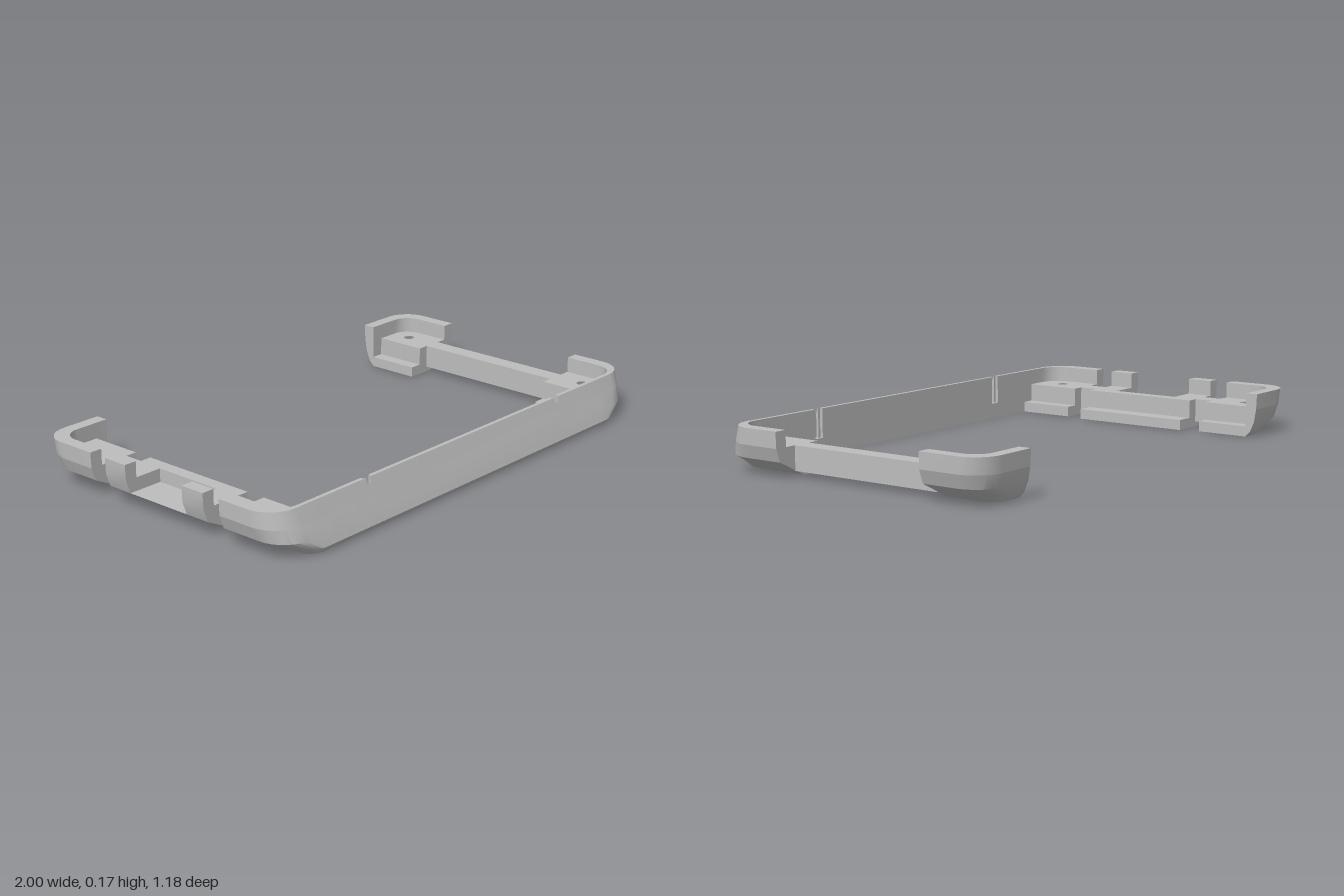
import * as THREE from 'three';
import { toCreasedNormals } from 'three/addons/utils/BufferGeometryUtils.js';

// Closed loft through matching 2D rings; map(u, v, level) places each point in space.
// An optional blind hole { ring, depth } is sunk into the last cap.
function loft(rings, levels, map, hole) {
  if (THREE.ShapeUtils.isClockWise(rings[0])) rings = rings.map((r) => r.slice().reverse());
  const tris = [];
  const n = rings[0].length;
  const last = rings.length - 1;
  const at = (p, w) => map(p.x, p.y, w);
  const tri = (a, b, c) => tris.push([a, b, c]);
  for (let k = 0; k < last; k++) {
    for (let i = 0; i < n; i++) {
      const j = (i + 1) % n;
      const a = at(rings[k][i], levels[k]), b = at(rings[k][j], levels[k]);
      const c = at(rings[k + 1][j], levels[k + 1]), d = at(rings[k + 1][i], levels[k + 1]);
      tri(a, b, c);
      tri(a, c, d);
    }
  }
  for (const [a, b, c] of THREE.ShapeUtils.triangulateShape(rings[0].slice(), [])) {
    tri(at(rings[0][c], levels[0]), at(rings[0][b], levels[0]), at(rings[0][a], levels[0]));
  }
  const holes = hole ? [hole.ring] : [];
  const all = rings[last].concat(...holes);
  for (const [a, b, c] of THREE.ShapeUtils.triangulateShape(rings[last].slice(), holes.map((h) => h.slice()))) {
    tri(at(all[a], levels[last]), at(all[b], levels[last]), at(all[c], levels[last]));
  }
  if (hole) {
    const h = hole.ring, top = levels[last], low = top - hole.depth;
    for (let i = 0; i < h.length; i++) {
      const p = h[i], q = h[(i + 1) % h.length];
      tri(at(p, top), at(q, top), at(q, low));
      tri(at(p, top), at(q, low), at(p, low));
      if (i > 0 && i < h.length - 1) tri(at(h[0], low), at(p, low), at(q, low));
    }
  }
  // turn the faces outward whatever the handedness of the map
  let volume = 0;
  for (const [a, b, c] of tris) volume += a.dot(b.clone().cross(c));
  const points = [];
  for (const [a, b, c] of tris) points.push(...(volume < 0 ? [a, c, b] : [a, b, c]));
  const geometry = new THREE.BufferGeometry().setFromPoints(points);
  geometry.computeVertexNormals();
  return toCreasedNormals(geometry, 0.6);
}

const V = (x, y) => new THREE.Vector2(x, y);
const poly = (list) => list.map(([x, y]) => V(x, y));

// Quarter arc from the end wall (z) round to the side wall (x)
function cornerArc(x, z, r) {
  const pts = [];
  for (let i = 0; i <= 8; i++) {
    const t = (i / 8) * Math.PI / 2;
    pts.push(V(x - r + r * Math.sin(t), z - r + r * Math.cos(t)));
  }
  return pts;
}

// Outer shell sizes by height: y, side x, front z, front radius, back z, back radius
const SHELL = [
  [0, 0.86, 0.577, 0.06, 0.545, 0.06],
  [0.02, 0.9, 0.59, 0.1, 0.565, 0.09],
  [0.06, 0.98, 0.577, 0.12, 0.582, 0.11],
  [0.11, 0.998, 0.557, 0.12, 0.59, 0.11],
  [0.17, 1, 0.535, 0.11, 0.593, 0.1],
];
const LEDGE = 0.04, FLOOR = 0.11, TOP = 0.17;

// Shell sizes at any height, for the front (+1) or back (-1) end
function shellAt(y, end) {
  let k = 0;
  while (k < SHELL.length - 2 && y > SHELL[k + 1][0]) k++;
  const a = SHELL[k], b = SHELL[k + 1];
  const mix = (i) => THREE.MathUtils.lerp(a[i], b[i], (y - a[0]) / (b[0] - a[0]));
  return end > 0 ? { x: mix(1), z: mix(2), r: mix(3) } : { x: mix(1), z: mix(4), r: mix(5) };
}

export function createModel() {
  const model = new THREE.Group();
  const grey = new THREE.MeshStandardMaterial({ color: 0xbdbdbd });
  grey.name = 'light grey';
  const add = (name, geometry, parent = model) => {
    const mesh = new THREE.Mesh(geometry, grey);
    mesh.name = name;
    parent.add(mesh);
  };
  const box = (name, x0, x1, y0, y1, z0, z1) => {
    const g = new THREE.BoxGeometry(x1 - x0, y1 - y0, z1 - z0);
    add(name, g.translate((x0 + x1) / 2, (y0 + y1) / 2, (z0 + z1) / 2));
  };

  // Four corner blocks: floor with screw hole, lower ledge and raised rim
  function corner(name, side, end) {
    const group = new THREE.Group();
    group.name = name;
    model.add(group);
    const place = (u, v, y) => new THREE.Vector3(side * u, y, end * v);
    const open = end > 0 ? 0.295 : 0.335;
    const rimZ = end > 0 ? 0.52 : 0.545;
    const rimR = end > 0 ? 0.08 : 0.07;
    const holeRing = [];
    for (let i = 0; i < 16; i++) {
      const t = -i * Math.PI / 8;
      holeRing.push(V(0.875 + 0.021 * Math.cos(t), (end > 0 ? 0.418 : 0.465) + 0.021 * Math.sin(t)));
    }

    const floorLevels = [0, 0.02, 0.06, FLOOR];
    add('cornerFloor', loft(floorLevels.map((y) => {
      const s = shellAt(y, end);
      return [V(0.79, open), V(0.79, s.z), ...cornerArc(s.x, s.z, s.r), V(s.x, open)];
    }), floorLevels, place, { ring: holeRing, depth: 0.06 }), group);

    const strip = (levels, z0) => loft(levels.map((y) => {
      const z = shellAt(y, end).z;
      return poly([[0.74, z0], [0.79, z0], [0.79, z], [0.74, z]]);
    }), levels, place);
    add('cornerLedge', strip([0, 0.02, LEDGE], open), group);
    add('cornerLip', strip([LEDGE, 0.06, FLOOR], rimZ), group);

    const rimLevels = [FLOOR, 0.14, TOP];
    add('cornerRim', loft(rimLevels.map((y) => {
      const s = shellAt(y, end);
      return [
        V(0.74, s.z), ...cornerArc(s.x, s.z, s.r), V(s.x, open),
        V(0.95, open), ...cornerArc(0.95, rimZ, rimR).reverse(), V(0.74, rimZ),
      ];
    }), rimLevels, place), group);
  }
  corner('frontLeftCorner', 1, 1);
  corner('frontRightCorner', -1, 1);
  corner('backLeftCorner', 1, -1);
  corner('backRightCorner', -1, -1);

  // Front wall with two upright grooves in its inner face
  const outer = SHELL.map((s) => [s[2], s[0]]);
  const wall = poly([[0.52, 0], ...outer, [0.52, TOP]]);
  const wallPart = (name, ring, x0, x1) =>
    add(name, loft([ring, ring], [x0, x1], (z, y, x) => new THREE.Vector3(x, y, z)));
  wallPart('frontWallMiddle', wall, -0.515, 0.515);
  for (const s of [-1, 1]) {
    wallPart('frontWallEnd', wall, s * 0.555, s * 0.74);
    // groove cut in steps: deepest along its centre line
    for (const [a, b, depth] of [[0.515, 0.525, 0.012], [0.525, 0.545, 0.022], [0.545, 0.555, 0.012]]) {
      const z = 0.52 + depth;
      const cutTop = depth > 0.015 ? [[z, 0.151]] : [[0.535, TOP], [z, TOP]];
      const ring = poly([[0.52, 0], ...outer.slice(0, 4), ...cutTop, [z, 0.06], [0.52, 0.06]]);
      wallPart('frontWallGroove', ring, s * a, s * b);
    }
  }

  // Plain rail on the left, short necks on the right
  box('leftRail', 0.835, 0.905, 0.02, FLOOR, -0.336, 0.296);
  box('rightBackNeck', -0.905, -0.835, 0.02, FLOOR, -0.336, -0.259);
  box('rightFrontNeck', -0.905, -0.835, 0.02, FLOOR, 0.219, 0.296);

  // Right middle block: two tabs either side of an open recess
  const under = [[0.72, 0], [0.86, 0], [0.9, 0.02], [0.98, 0.06]];
  const step = [[0.79, FLOOR], [0.79, LEDGE], [0.72, LEDGE]];
  const tab = poly([...under, [0.998, FLOOR], [1, TOP], [0.95, TOP], [0.95, FLOOR], ...step]);
  const recess = poly([...under, [0.84, 0.06], [0.84, FLOOR], ...step]);
  const blockPart = (name, ring, z0, z1) =>
    add(name, loft([ring, ring], [z0, z1], (x, y, z) => new THREE.Vector3(-x, y, z)));
  blockPart('backTabBlock', tab, -0.26, -0.158);
  blockPart('recessBlock', recess, -0.158, 0.12);
  blockPart('frontTabBlock', tab, 0.12, 0.22);

  return model;
}
